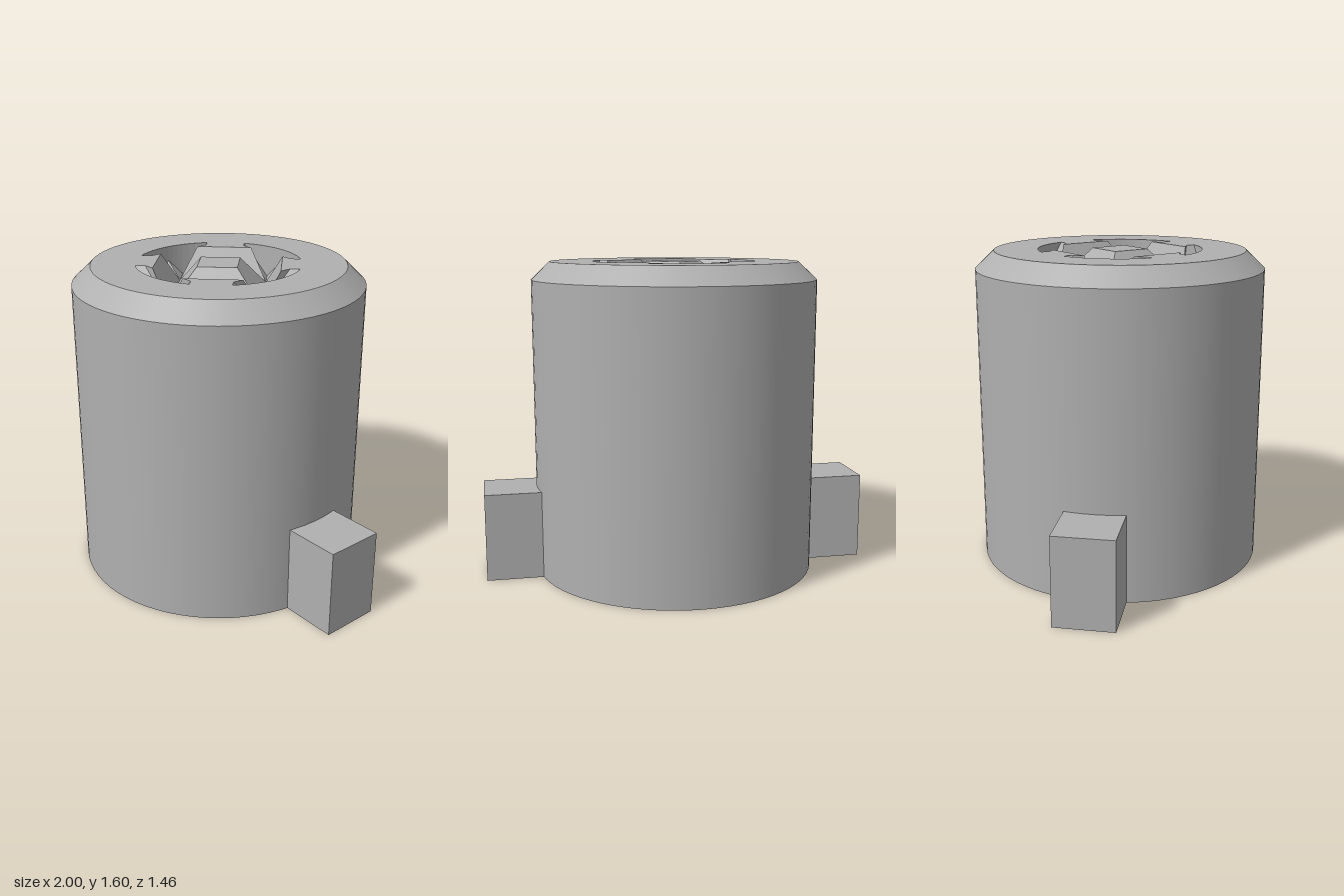
import * as THREE from 'three';

const TOP = 1.6, LOW = 1.44, RIM = 0.415;      // recess heights and radius
const K = (TOP - LOW) / 0.18;                  // slope of the faceted floor

export function createModel() {
  const group = new THREE.Group();
  const grey = new THREE.MeshStandardMaterial({ color: 0xb0b0b0 });
  const add = (name, geometry) => {
    const mesh = new THREE.Mesh(geometry, grey);
    mesh.name = name;
    group.add(mesh);
    return mesh;
  };

  // Barrel, chamfer and base
  add('barrel', new THREE.CylinderGeometry(0.73, 0.73, 1.51, 72, 1, true)).position.y = 0.755;
  add('chamfer', new THREE.CylinderGeometry(0.635, 0.73, 0.09, 72, 1, true)).position.y = 1.555;
  add('base', new THREE.CircleGeometry(0.73, 72)).rotation.x = Math.PI / 2;

  // Side lugs
  for (const side of [1, -1]) {
    add(side > 0 ? 'leftLug' : 'rightLug', new THREE.BoxGeometry(0.3, 0.45, 0.3))
      .position.set(side * 0.85, 0.225, 0);
  }

  // Arc of one recess arm, from its side to its middle: [x, outward]
  const arc = [];
  for (const deg of [31.2, 27, 22, 17, 11.96, 8, 4, 0]) {
    const a = THREE.MathUtils.degToRad(deg);
    arc.push([RIM * Math.sin(a), RIM * Math.cos(a)]);
  }

  // Flat top with the cross-shaped opening
  const half = [[0.12, 0.32], [0.18, 0.32], ...arc];
  const arm = [...half, ...half.slice(0, -1).reverse().map(([x, n]) => [-x, n])];
  const outline = [];
  for (let q = 0; q < 4; q++) {
    const c = Math.round(Math.cos(q * Math.PI / 2)), s = Math.round(Math.sin(q * Math.PI / 2));
    for (const [x, n] of arm) outline.push(new THREE.Vector2(x * c - n * s, x * s + n * c));
  }
  const face = new THREE.Shape().absarc(0, 0, 0.635, 0, Math.PI * 2);
  face.holes.push(new THREE.Path(outline));
  const top = add('topFace', new THREE.ShapeGeometry(face, 36));
  top.rotation.x = -Math.PI / 2;
  top.position.y = TOP;

  // Faceted recess: half an arm as polygons of [x, outward, height]
  const low = [0, 0.32, LOW], lowMid = [0.16, 0.16, LOW];
  const crown = [0, 0.14, TOP], crownMid = [0.07, 0.07, TOP];
  const lip = [0.12, 0.32, TOP], lipMid = [0.22, 0.22, TOP], step = [0.18, 0.32, TOP];
  const floor = arc.map(([x, n]) => [x, n, Math.min(TOP, LOW + K * Math.abs(x - n + 0.32))]);
  const polygons = [
    [[0, 0, TOP], crownMid, crown],
    [crownMid, lowMid, low, crown],
    [lowMid, lipMid, lip, low],
    [low, lip, step],
    [low, step, floor[0]],
  ];
  for (let i = 0; i + 1 < floor.length; i++) {
    const a = floor[i], b = floor[i + 1];
    polygons.push([low, a, b], [a, [a[0], a[1], TOP], [b[0], b[1], TOP], b]);
  }

  // Mirror the half arm and repeat it four times
  const positions = [];
  for (let q = 0; q < 4; q++) {
    const c = Math.round(Math.cos(q * Math.PI / 2)), s = Math.round(Math.sin(q * Math.PI / 2));
    for (const mirror of [1, -1]) {
      for (const polygon of polygons) {
        const pts = polygon.map(([x, n, y]) => [mirror * x * c - n * s, y, -(mirror * x * s + n * c)]);
        if (mirror < 0) pts.reverse();
        for (let i = 1; i + 1 < pts.length; i++) positions.push(...pts[0], ...pts[i], ...pts[i + 1]);
      }
    }
  }
  const recess = new THREE.BufferGeometry();
  recess.setAttribute('position', new THREE.Float32BufferAttribute(positions, 3));
  recess.computeVertexNormals();
  add('recess', recess);

  return group;
}
